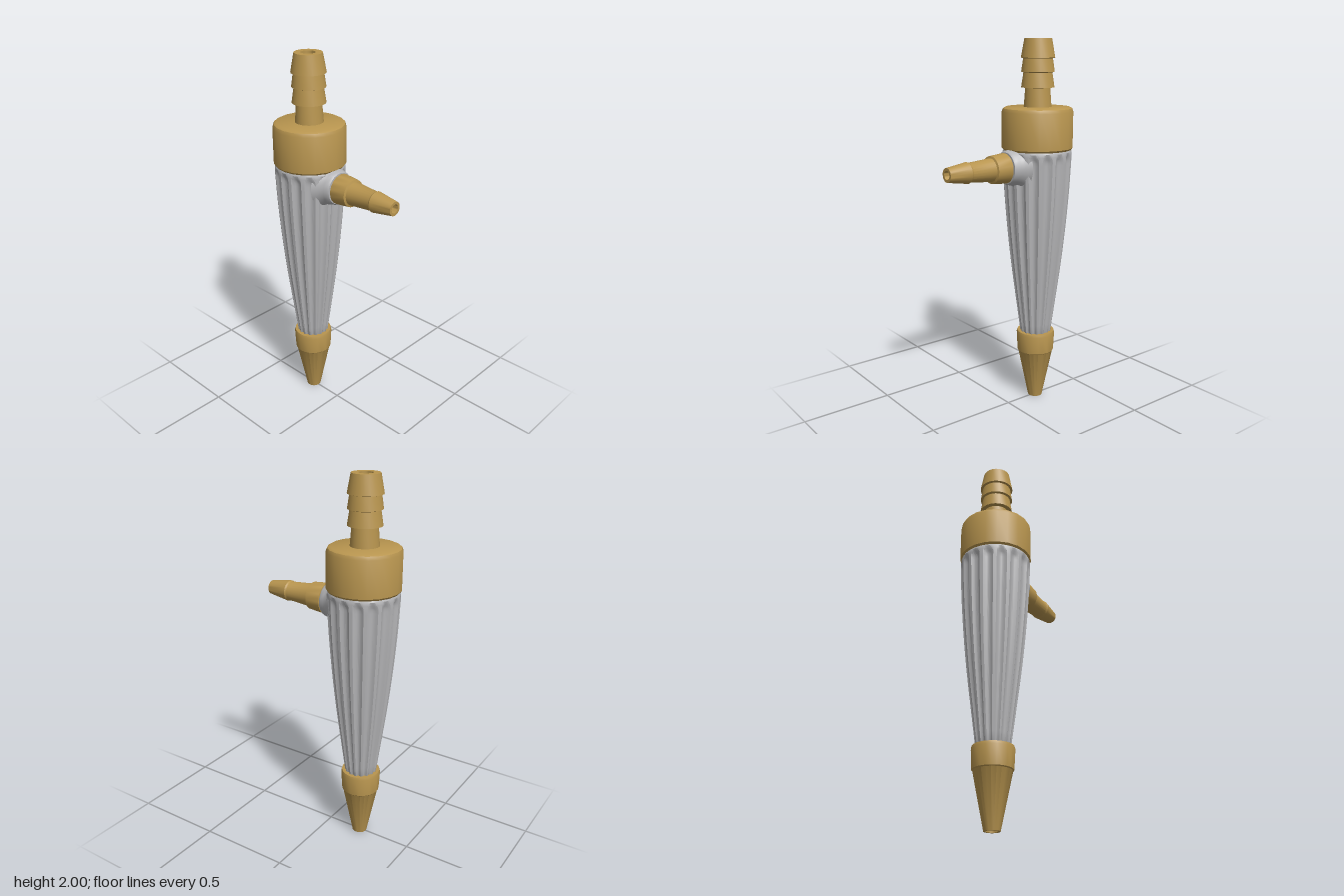
import * as THREE from 'three';
import { toCreasedNormals } from 'three/addons/utils/BufferGeometryUtils.js';

const AXIS_X = -0.195;   // centre line of the upright body
const SIDE_Y = 1.345;    // height of the side outlet
const FLUTES = 16;

const brass = new THREE.MeshStandardMaterial({ color: 0xb8954f });
brass.name = 'brass';
const grey = new THREE.MeshStandardMaterial({ color: 0xb5b5b7 });
grey.name = 'satinGrey';

// Turned part from [radius, height] pairs, with crisp steps
function turned(name, profile, material, segments = 24) {
  const points = profile.map(([r, y]) => new THREE.Vector2(r, y));
  const geometry = toCreasedNormals(new THREE.LatheGeometry(points, segments), 0.6);
  const mesh = new THREE.Mesh(geometry, material);
  mesh.name = name;
  return mesh;
}

// Tapered grip with scooped flutes that end in arches below the cap
function flutedGrip() {
  const outline = new THREE.SplineCurve([
    [0.086, 0.4], [0.113, 0.6], [0.139, 0.8], [0.16, 1.0], [0.176, 1.2], [0.184, 1.36],
  ].map(([r, y]) => new THREE.Vector2(r, y)));
  const points = [new THREE.Vector2(0, 0.39), new THREE.Vector2(0.08, 0.39), ...outline.getPoints(15)];
  [[0.185, 1.375], [0.185, 1.39], [0.185, 1.405], [0.184, 1.42], [0.178, 1.433], [0, 1.433]]
    .forEach(([r, y]) => points.push(new THREE.Vector2(r, y)));
  const geometry = new THREE.LatheGeometry(points, FLUTES * 8);
  const p = geometry.attributes.position;
  for (let i = 0; i < p.count; i++) {
    const x = p.getX(i), y = p.getY(i), z = p.getZ(i);
    const turn = Math.atan2(x, z) / (Math.PI * 2) * FLUTES;
    const t = (turn - Math.round(turn)) * 2;
    const scoop = Math.max(0, 1 - (t / 0.75) ** 2);
    const fade = THREE.MathUtils.clamp((1.415 - 0.025 * t * t - y) / 0.03, 0, 1);
    const k = 1 - 0.085 * scoop * fade;
    p.setXYZ(i, x * k, y, z * k);
  }
  const mesh = new THREE.Mesh(toCreasedNormals(geometry, 0.45), grey);
  mesh.name = 'flutedGrip';
  return mesh;
}

export function createModel() {
  const model = new THREE.Group();
  model.name = 'barbedNozzle';

  const upright = new THREE.Group();
  upright.name = 'uprightBody';
  upright.position.x = AXIS_X;
  model.add(upright);

  // Hollow conical tip with its collar
  upright.add(turned('tip', [
    [0, 0.15], [0.028, 0.15], [0.03, 0], [0.04, 0], [0.097, 0.28],
    [0.102, 0.285], [0.107, 0.385], [0.103, 0.4], [0, 0.4],
  ], brass));

  upright.add(flutedGrip());

  // Cap above the grip
  upright.add(turned('cap', [
    [0, 1.428], [0.182, 1.428], [0.19, 1.438], [0.19, 1.628],
    [0.183, 1.645], [0.17, 1.652], [0, 1.652],
  ], brass, 20));

  // Three-barbed hose tail with a bore
  upright.add(turned('hoseTail', [
    [0.074, 1.645], [0.066, 1.75], [0.088, 1.752], [0.076, 1.828],
    [0.088, 1.832], [0.078, 1.9], [0.09, 1.903], [0.072, 2.0],
    [0.037, 2.0], [0.035, 1.75], [0, 1.75],
  ], brass));

  // Side outlet: flared grey boss and barbed spout along +x
  const outlet = new THREE.Group();
  outlet.name = 'sideOutlet';
  outlet.position.y = SIDE_Y;
  outlet.rotation.z = -Math.PI / 2;
  outlet.add(turned('boss', [
    [0.125, -0.065], [0.112, -0.045], [0.099, -0.027], [0.093, -0.008],
    [0.09, 0.01], [0.083, 0.02], [0, 0.02],
  ], grey));
  outlet.add(turned('spout', [
    [0.066, 0.015], [0.07, 0.025], [0.08, 0.027], [0.072, 0.113], [0.061, 0.117],
    [0.05, 0.254], [0.055, 0.263], [0.037, 0.382],
    [0.023, 0.382], [0.022, 0.25], [0, 0.25],
  ], brass));
  model.add(outlet);

  return model;
}
